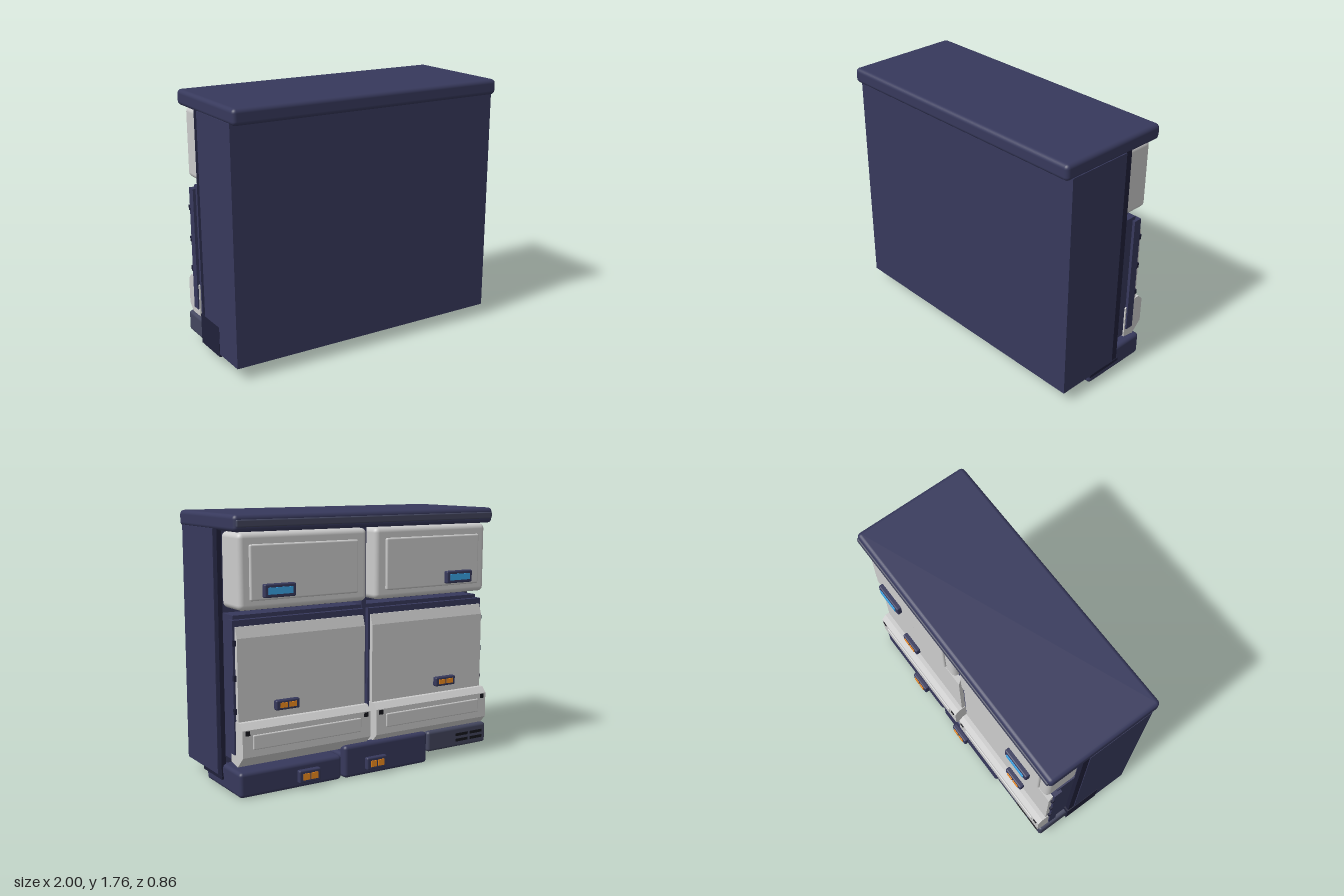
import * as THREE from 'three';
import { RoundedBoxGeometry } from 'three/addons/geometries/RoundedBoxGeometry.js';

const mat = (color) => new THREE.MeshStandardMaterial({ color });
const navy = mat(0x37395c), dark = mat(0x20213a), slate = mat(0x43465e);
const grey = mat(0xcccccc), blue = mat(0x3aa5e8), orange = mat(0xf08c1e), black = mat(0x15151c);

export function createModel() {
  const root = new THREE.Group();

  const add = (name, geometry, material, parent = root) => {
    const mesh = new THREE.Mesh(geometry, material);
    mesh.name = name;
    parent.add(mesh);
    return mesh;
  };

  // Box given by its limits on each axis; a radius rounds its edges
  const box = (name, [x0, x1], [y0, y1], [z0, z1], material, radius = 0, parent = root) => {
    const size = [x1 - x0, y1 - y0, z1 - z0];
    const geometry = radius ? new RoundedBoxGeometry(...size, 3, radius) : new THREE.BoxGeometry(...size);
    const mesh = add(name, geometry, material, parent);
    mesh.position.set((x0 + x1) / 2, (y0 + y1) / 2, (z0 + z1) / 2);
    return mesh;
  };

  // Side profile of (depth towards the back, height) points, swept along x
  const sweep = (name, points, x0, x1, material, parent = root) => {
    const shape = new THREE.Shape(points.map(([d, y]) => new THREE.Vector2(d, y)));
    const geometry = new THREE.ExtrudeGeometry(shape, { depth: x1 - x0, bevelEnabled: false });
    geometry.rotateY(Math.PI / 2);
    geometry.translate(x0, 0, 0);
    return add(name, geometry, material, parent);
  };

  // Handle housing with a row of coloured inserts
  const handle = (name, x, y, z, width, height, count, color) => {
    const group = new THREE.Group();
    group.name = name;
    group.position.set(x, y, z);
    root.add(group);
    box('handleHousing', [-width / 2, width / 2], [-height / 2, height / 2], [-0.03, 0.01], navy, 0.01, group);
    const step = (width - 0.04) / count;
    for (let i = 0; i < count; i++) {
      const a = -width / 2 + 0.02 + i * step;
      box('handleInsert', [a + 0.006, a + step - 0.006], [-height / 4, height / 4], [-0.036, -0.02], color, 0, group);
    }
  };

  // Main body, rear edge frame and top
  box('body', [-1, 1], [0.09, 1.67], [-0.095, 0.375], navy);
  box('rearPanel', [-0.97, 0.97], [0.09, 1.67], [-0.13, -0.09], navy);
  for (const s of [-1, 1]) {
    const x = s < 0 ? [-0.995, -0.965] : [0.965, 0.995];
    box('rearEdge', x, [0.09, 1.68], [-0.145, -0.09], dark);
  }
  box('bottomPlate', [-1, 1], [0.07, 0.092], [-0.155, 0.12], dark);
  box('cornerFoot', [-1.002, -0.46], [0.07, 0.28], [-0.155, 0.12], dark);
  box('top', [-1, 1], [1.66, 1.765], [-0.4, 0.425], navy, 0.028);
  box('topTrim', [-0.985, 0.985], [1.69, 1.735], [-0.41, -0.38], slate, 0.008);
  box('divider', [-0.018, 0.018], [0.2, 1.66], [-0.28, -0.12], navy);

  // Two matching columns of storage
  for (const s of [-1, 1]) {
    const span = (a, b) => (s > 0 ? [a, b] : [-b, -a]);

    // Upper drawer
    box('upperDrawer', span(0.03, 0.96), [1.18, 1.655], [-0.37, -0.12], grey, 0.035);
    box('upperDrawerPanel', span(0.11, 0.89), [1.24, 1.585], [-0.387, -0.36], grey, 0.012);
    handle('upperDrawerHandle', s * 0.7, 1.3, -0.39, 0.22, 0.085, 1, blue);

    // Middle cabinet with its door
    box('cabinet', span(0.02, 0.96), [0.22, 1.145], [-0.275, -0.12], navy);
    box('cabinetFrame', span(0.015, 0.98), [0.27, 1.12], [-0.31, -0.25], navy);
    const [x0, x1] = span(0.03, 0.965);
    sweep('cabinetDoor', [[0.3, 0.44], [0.325, 0.44], [0.34, 0.46], [0.34, 1.01], [0.318, 1.08], [0.3, 1.08]], x0, x1, grey);
    for (const y of [0.55, 0.76, 0.98]) {
      box('hinge', span(0.962, 0.982), [y - 0.018, y + 0.018], [-0.325, -0.305], dark);
    }
    handle('cabinetHandle', s * 0.63, 0.565, -0.345, 0.17, 0.065, 2, orange);

    // Lower bin
    const [b0, b1] = span(0.025, 0.97);
    sweep('bin', [[0.24, 0.21], [0.33, 0.195], [0.405, 0.27], [0.405, 0.445], [0.37, 0.485], [0.3, 0.485], [0.24, 0.44]], b0, b1, grey);
    box('binPanel', span(0.1, 0.9), [0.315, 0.41], [-0.413, -0.39], grey, 0.008);
    for (const x of [0.06, 0.935]) {
      box('binStud', span(x - 0.015, x + 0.015), [0.41, 0.44], [-0.41, -0.39], black);
    }
  }

  // Base drawers
  box('baseDrawer', [0.24, 0.985], [0.005, 0.17], [-0.39, 0.11], navy, 0.025);
  box('baseDrawer', [-0.46, 0.22], [0.005, 0.17], [-0.39, 0.11], navy, 0.025);
  box('baseDrawerFront', [-0.46, 0.22], [0.005, 0.225], [-0.395, -0.32], navy, 0.025);
  for (const x of [0.5, -0.02]) handle('baseDrawerHandle', x, 0.085, -0.395, 0.16, 0.085, 2, orange);

  // Vent box in the corner
  box('ventBox', [-0.99, -0.47], [0.075, 0.22], [-0.39, -0.12], slate, 0.02);
  for (const y of [0.125, 0.165]) {
    for (const x of [-0.9, -0.77]) {
      box('ventSlot', [x - 0.055, x + 0.055], [y - 0.01, y + 0.01], [-0.393, -0.38], black);
    }
  }
  return root;
}
